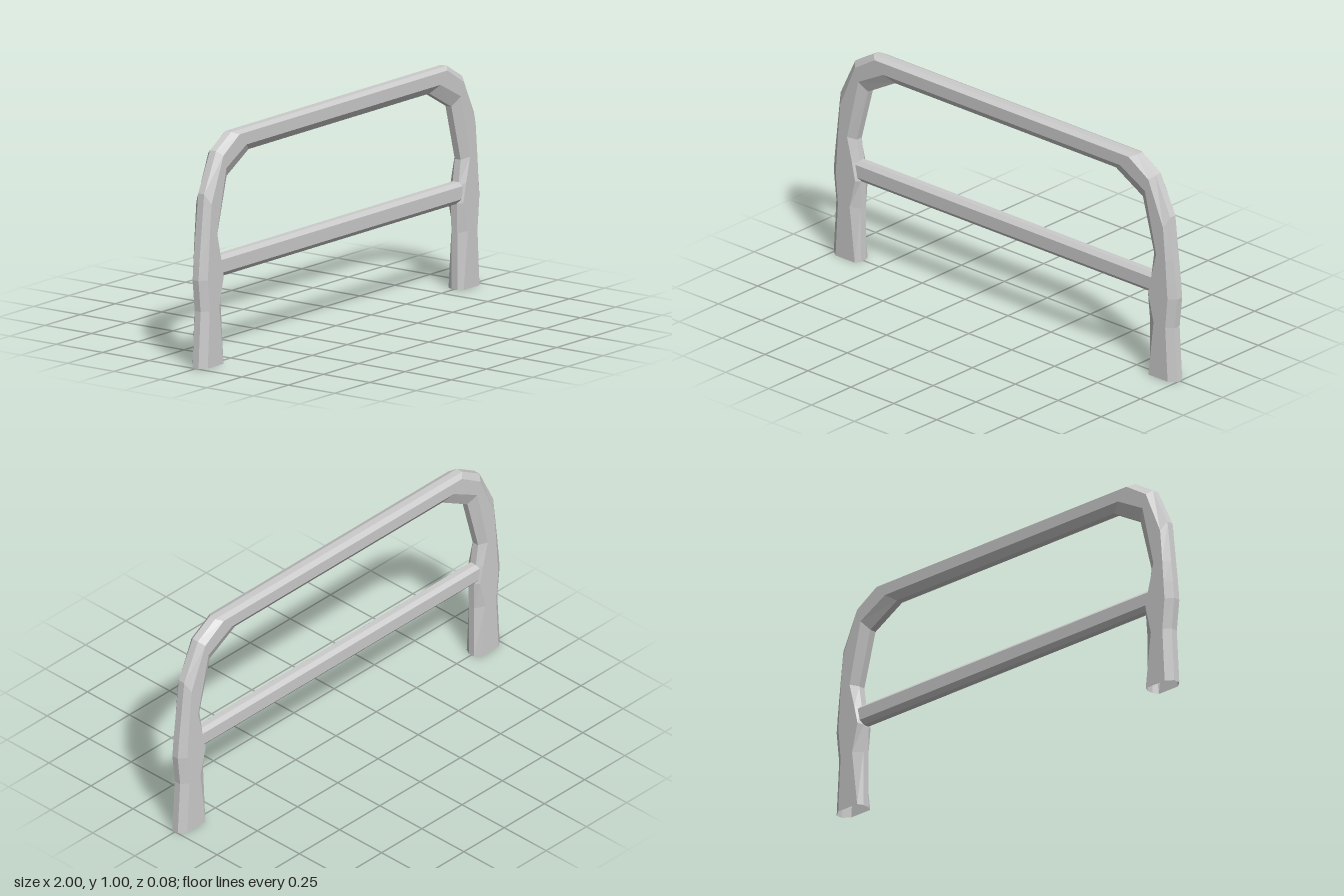
import * as THREE from 'three';

const material = new THREE.MeshStandardMaterial({
  color: 0xcccccc, flatShading: true, side: THREE.DoubleSide,
});

// Joins octagonal rings; each ring lists its points in order round the path.
function loft(rings) {
  const pos = [];
  for (let i = 0; i < rings.length - 1; i++) {
    const n = rings[i].length;
    for (let j = 0; j < n; j++) {
      const k = (j + 1) % n;
      const a = rings[i][j], b = rings[i][k], c = rings[i + 1][k], d = rings[i + 1][j];
      pos.push(...a, ...b, ...c, ...a, ...c, ...d);
    }
  }
  const geometry = new THREE.BufferGeometry();
  geometry.setAttribute('position', new THREE.Float32BufferAttribute(pos, 3));
  geometry.computeVertexNormals();
  return geometry;
}

// Octagon from four outline points: outer edge, front outer, front inner, inner edge.
function ring([o, fo, fi, i], depth, flat) {
  return [
    [...o, -flat], [...o, flat], [...fo, depth], [...fi, depth],
    [...i, flat], [...i, -flat], [...fi, -depth], [...fo, -depth],
  ];
}

export function createModel() {
  const group = new THREE.Group();
  group.name = 'barrier';

  // Hoop stations from the right foot up to the top rail
  const half = [
    [[-1, 0], [-0.967, 0], [-0.855, 0], [-0.842, 0]],
    [[-0.985, 0.25], [-0.953, 0.25], [-0.885, 0.255], [-0.842, 0.25]],
    [[-1, 0.39], [-0.966, 0.39], [-0.853, 0.385], [-0.84, 0.38]],
    [[-0.993, 0.47], [-0.96, 0.47], [-0.872, 0.47], [-0.85, 0.46]],
    [[-0.982, 0.57], [-0.953, 0.57], [-0.9, 0.58], [-0.866, 0.57]],
    [[-0.96, 0.765], [-0.94, 0.72], [-0.835, 0.86], [-0.8, 0.817]],
    [[-0.875, 0.94], [-0.855, 0.92], [-0.835, 0.86], [-0.8, 0.817]],
    [[-0.768, 1.004], [-0.74, 0.992], [-0.69, 0.938], [-0.643, 0.905]],
  ];
  const mirrored = half.map((s) => s.map(([x, y]) => [-x, y])).reverse();
  const hoop = new THREE.Mesh(
    loft([...half, ...mirrored].map((s) => ring(s, 0.041, 0.016))), material);
  hoop.name = 'hoopFrame';
  group.add(hoop);

  // Straight rail between the legs
  const railRings = [-0.87, 0.87].map((x) =>
    ring([[x, 0.474], [x, 0.457], [x, 0.4], [x, 0.38]], 0.031, 0.014));
  const rail = new THREE.Mesh(loft(railRings), material);
  rail.name = 'crossRail';
  group.add(rail);

  return group;
}
